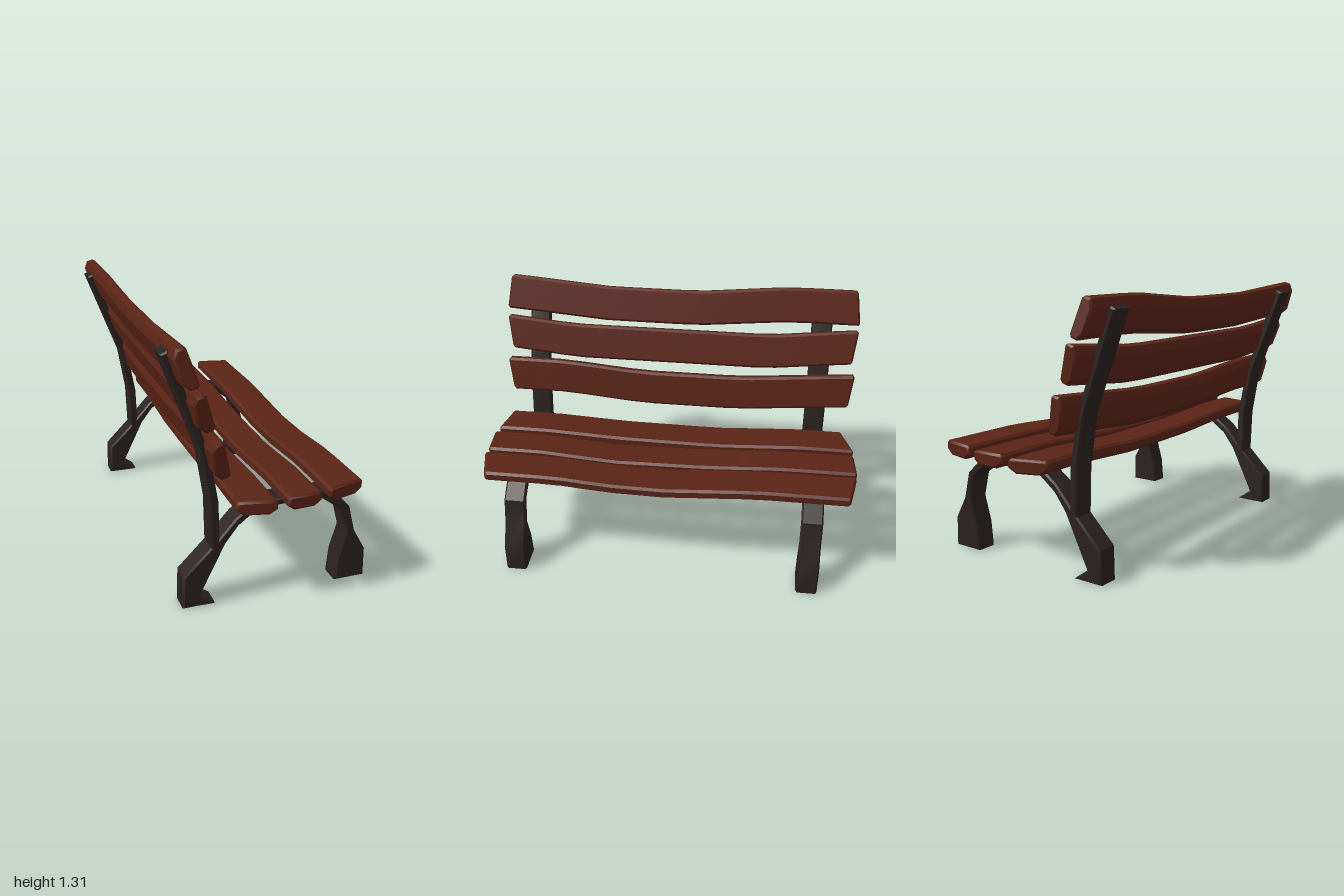
import * as THREE from 'three';
import { toCreasedNormals } from 'three/addons/utils/BufferGeometryUtils.js';

const wood = new THREE.MeshStandardMaterial({ color: 0x5a2416 });
const iron = new THREE.MeshStandardMaterial({ color: 0x2a2220 });

const shapeOf = pts => new THREE.Shape(pts.map(p => new THREE.Vector2(...p)));

// Linear interpolation through [z, offset] pairs sorted by z
function sample(keys, z) {
  if (z <= keys[0][0]) return keys[0][1];
  for (let i = 1; i < keys.length; i++) {
    const [z0, a] = keys[i - 1], [z1, b] = keys[i];
    if (z <= z1) return a + (b - a) * (z - z0) / (z1 - z0);
  }
  return keys[keys.length - 1][1];
}

// Warped plank along z: u is its width, v its thickness (+v is the seen face).
// slant shifts the two ends outward along the width; wave bends it in 'x' or 'y'.
function slat({ name, w, t, half, slant, wave, axis, pos, tilt = 0 }) {
  const a = w / 2, b = t / 2, bevel = 0.01;
  const section = shapeOf([
    [-a + 0.035, -b], [a - 0.035, -b], [a, -b + 0.025], [a, b - 0.012],
    [a - 0.012, b], [-a + 0.012, b], [-a, b - 0.012], [-a, -b + 0.025],
  ]);
  const geo = new THREE.ExtrudeGeometry(section, {
    depth: 2 * (half - bevel), steps: 14, bevelEnabled: true, bevelSegments: 1,
    bevelSize: bevel, bevelThickness: bevel, bevelOffset: -bevel,
  });
  geo.translate(0, 0, -half + bevel);
  const p = geo.attributes.position;
  for (let i = 0; i < p.count; i++) {
    const u = p.getX(i), v = p.getY(i), z = p.getZ(i);
    const bend = sample(wave, z);
    const s = z > 0 ? slant[1] : slant[0];
    const stretch = 1 + s * (u / a) - Math.abs(s);
    p.setXYZ(i, u + (axis === 'x' ? bend : 0), v + (axis === 'y' ? bend : 0), z * stretch);
  }
  const mesh = new THREE.Mesh(toCreasedNormals(geo, 0.6), wood);
  mesh.name = name;
  mesh.position.set(...pos, 0);
  mesh.rotation.z = tilt;
  return mesh;
}

// Flat iron bar cut from a side profile, centred on z
function ironBar(name, pts) {
  const width = 0.112, bevel = 0.008;
  const geo = new THREE.ExtrudeGeometry(shapeOf(pts), {
    depth: width - 2 * bevel, bevelEnabled: true, bevelSegments: 1,
    bevelSize: bevel, bevelThickness: bevel, bevelOffset: -bevel,
  });
  geo.translate(0, 0, -width / 2 + bevel);
  const mesh = new THREE.Mesh(toCreasedNormals(geo, 0.6), iron);
  mesh.name = name;
  return mesh;
}

export function createModel() {
  const model = new THREE.Group();
  model.name = 'bench';
  const bench = new THREE.Group();
  bench.name = 'benchBody';
  bench.rotation.y = 0.047;
  model.add(bench);

  // Side frames: arched legs with flared feet, and a curved back post
  const arch = [
    [-0.43, 0], [-0.425, 0.165], [-0.275, 0.315], [-0.167, 0.435], [-0.067, 0.505],
    [0.293, 0.505], [0.413, 0.4], [0.448, 0.26], [0.51, 0.15], [0.513, 0],
    [0.353, 0], [0.365, 0.13], [0.403, 0.26], [0.37, 0.39], [0.253, 0.475],
    [-0.057, 0.467], [-0.155, 0.395], [-0.22, 0.31], [-0.345, 0.055], [-0.27, 0],
  ];
  const post = [
    [-0.247, 0.3], [-0.254, 0.53], [-0.297, 0.78], [-0.466, 1.25], [-0.48, 1.27],
    [-0.515, 1.255], [-0.338, 0.78], [-0.297, 0.53], [-0.29, 0.29],
  ];
  for (const z of [0.8, -0.775]) {
    const frame = new THREE.Group();
    frame.name = z > 0 ? 'frontSideFrame' : 'rearSideFrame';
    frame.add(ironBar('legs', arch), ironBar('backPost', post));
    frame.position.z = z;
    bench.add(frame);
  }

  // Seat slats, sagging along their length
  const seat = [
    { name: 'seatSlatBack', w: 0.185, pos: [-0.11, 0.533], half: 0.99, slant: [0.033, 0.02],
      wave: [[-1, 0], [-0.7, 0], [-0.25, -0.025], [0.3, -0.02], [0.7, 0], [1, 0]] },
    { name: 'seatSlatMiddle', w: 0.172, pos: [0.113, 0.542], half: 0.995, slant: [0.006, -0.005],
      wave: [[-1, 0], [-0.6, 0], [-0.2, -0.025], [0.3, -0.032], [0.7, 0], [1, 0]] },
    { name: 'seatSlatFront', w: 0.19, pos: [0.33, 0.551], half: 0.99, slant: [-0.02, -0.025],
      wave: [[-1, 0.003], [-0.5, 0.003], [0, -0.03], [0.3, -0.025], [0.6, 0], [1, 0]] },
  ];
  for (const s of seat) bench.add(slat({ ...s, t: 0.07, axis: 'y' }));

  // Back slats, leaning with the posts; +u points down, so positive offsets sag
  const back = [
    { name: 'backSlatTop', pos: [-0.43, 1.2], tilt: -1.25, half: 0.975, slant: [0.013, 0.013],
      wave: [[-0.95, -0.02], [-0.6, -0.02], [-0.1, 0.025], [0.4, 0.025], [0.95, -0.015]] },
    { name: 'backSlatMiddle', pos: [-0.352, 0.99], tilt: -1.27, half: 0.972, slant: [-0.011, -0.014],
      wave: [[-0.95, -0.03], [-0.5, 0.018], [0.6, 0.018], [0.95, -0.015]] },
    { name: 'backSlatLow', pos: [-0.278, 0.765], tilt: -1.35, half: 0.972, slant: [-0.011, -0.014],
      wave: [[-0.95, -0.024], [-0.35, 0.025], [0.2, 0.025], [0.65, -0.012], [0.95, -0.012]] },
  ];
  for (const s of back) bench.add(slat({ ...s, w: 0.185, t: 0.07, axis: 'x' }));

  return model;
}
